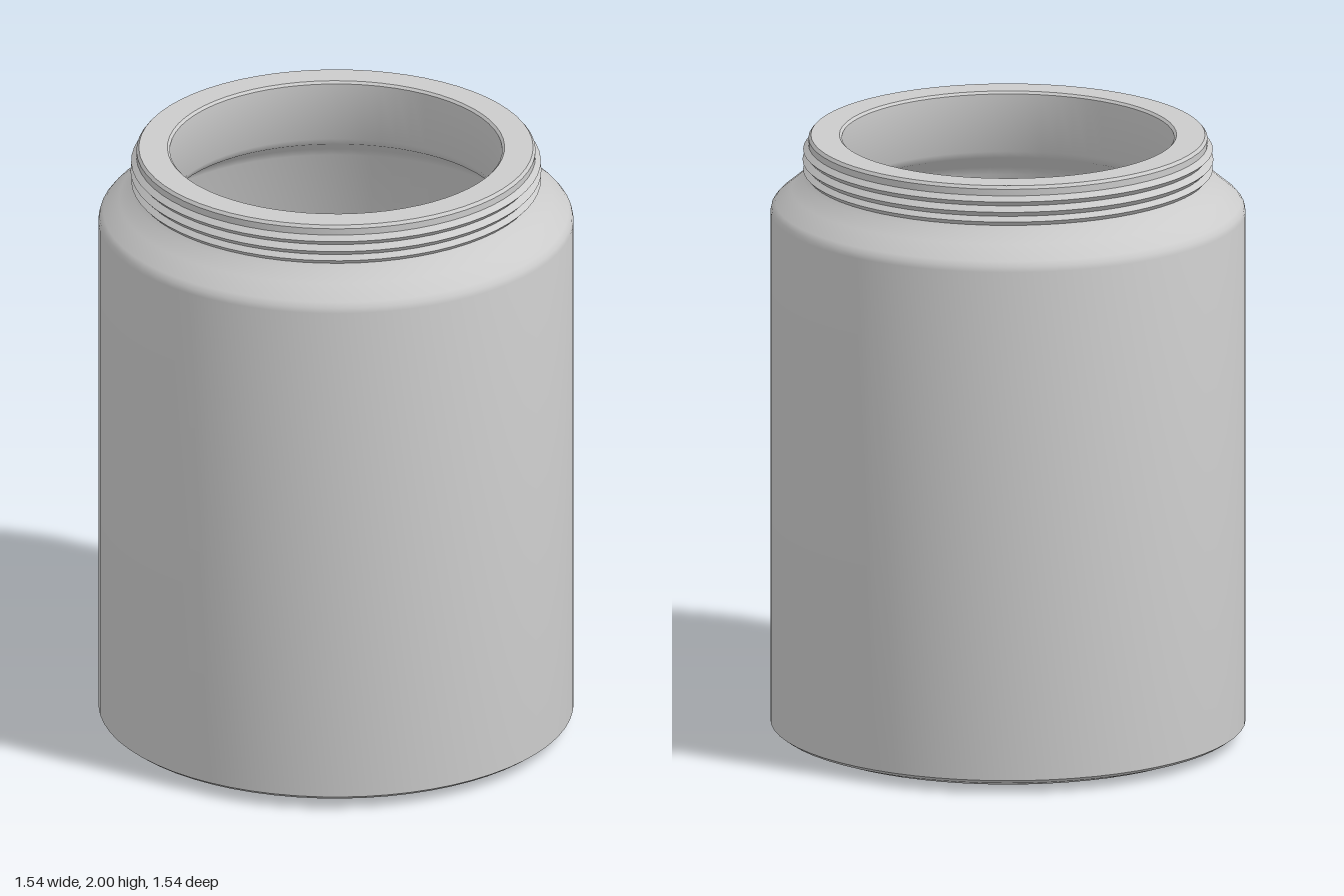
import * as THREE from 'three';
import { toCreasedNormals } from 'three/addons/utils/BufferGeometryUtils.js';

const BALL_R = 0.12;
const FLOOR = 0.07;
const PALETTE = { b: 0x2cb5ea, g: 0x4ceb3a, p: 0xea88e6, y: 0xe6cb4c };

// Upper balls as [colour, x, z], in the order they land
const UPPER = [
  ['p', -0.02, 0.42], ['b', 0.0, -0.51], ['y', 0.27, -0.45], ['y', 0.24, -0.31],
  ['b', -0.02, -0.31], ['y', -0.33, -0.35], ['y', -0.45, -0.25], ['g', -0.40, -0.06],
  ['b', -0.06, -0.13], ['p', 0.28, -0.13], ['b', 0.43, -0.12], ['b', -0.04, 0.08],
  ['b', 0.25, 0.18], ['g', 0.15, 0.27], ['p', 0.26, 0.38], ['g', 0.04, 0.47],
  ['p', -0.30, 0.40], ['g', -0.36, 0.15], ['y', -0.14, 0.45], ['b', -0.285, -0.015],
  ['g', 0.08, 0.03], ['y', 0.105, -0.27], ['p', -0.155, -0.33], ['b', -0.15, -0.49],
  ['p', 0.165, -0.48], ['y', 0.40, -0.31], ['y', -0.48, -0.175], ['b', -0.51, 0.07],
  ['g', -0.43, 0.25], ['g', 0.51, -0.09], ['p', 0.30, -0.03], ['y', 0.48, 0.13],
  ['g', 0.03, 0.285], ['b', -0.15, 0.15], ['b', 0.155, 0.18], ['p', -0.20, 0.32],
  ['p', 0.36, 0.33], ['b', 0.17, 0.47], ['g', -0.26, -0.26], ['y', -0.11, -0.085],
  ['y', 0.11, -0.16],
];

// Hollow jar: outside from the base up, over the rim, and down the inside
function makeJar() {
  const profile = [
    [0.001, 0], [0.62, 0.004], [0.70, 0.014], [0.75, 0.032], [0.768, 0.045],
    [0.768, 1.745], [0.764, 1.762], [0.752, 1.777], [0.70, 1.82], [0.66, 1.855],
    [0.648, 1.87], [0.662, 1.885], [0.646, 1.90], [0.664, 1.918], [0.646, 1.935],
    [0.662, 1.952], [0.645, 1.968], [0.645, 1.99], [0.637, 2.0],
    [0.545, 2.0], [0.537, 1.992], [0.535, 1.80], [0.55, 1.775], [0.64, 1.72],
    [0.66, 1.69], [0.66, 0.11], [0.62, FLOOR], [0.001, FLOOR],
  ].map(([r, y]) => new THREE.Vector2(r, y));
  const geometry = toCreasedNormals(new THREE.LatheGeometry(profile, 64), 0.65);
  const jar = new THREE.Mesh(geometry, new THREE.MeshStandardMaterial({ color: 0xcccccc }));
  jar.name = 'jar';
  return jar;
}

// Balls dropped straight down until each one rests on the floor or on a neighbour
function makeBalls() {
  const balls = new THREE.Group();
  balls.name = 'candyBalls';
  const geometry = new THREE.SphereGeometry(BALL_R, 32, 20);
  const materials = {};
  for (const key in PALETTE) {
    materials[key] = new THREE.MeshStandardMaterial({ color: PALETTE[key] });
  }
  const placed = [];

  function drop(key, x, z) {
    let y = FLOOR + BALL_R;
    for (const p of placed) {
      const gap = 4 * BALL_R * BALL_R - (x - p.x) ** 2 - (z - p.z) ** 2;
      if (gap > 0) y = Math.max(y, p.y + Math.sqrt(gap) * 0.95);
    }
    const ball = new THREE.Mesh(geometry, materials[key]);
    ball.name = 'candyBall';
    ball.position.set(x, y, z);
    placed.push(ball.position);
    balls.add(ball);
  }

  // Lower layers in concentric rings, turned a little from layer to layer
  const keys = Object.keys(PALETTE);
  let n = 0;
  for (let layer = 0; layer < 2; layer++) {
    for (const [radius, count] of [[0.53, 13], [0.27, 6], [0, 1]]) {
      for (let i = 0; i < count; i++) {
        const a = ((i + layer * 0.5) / count) * Math.PI * 2;
        drop(keys[(n++ * 7 + layer + (i >> 1)) % 4], radius * Math.cos(a), radius * Math.sin(a));
      }
    }
  }
  for (const [key, x, z] of UPPER) drop(key, x, z);
  return balls;
}

export function createModel() {
  const model = new THREE.Group();
  model.name = 'candyJar';
  model.add(makeJar(), makeBalls());
  return model;
}
